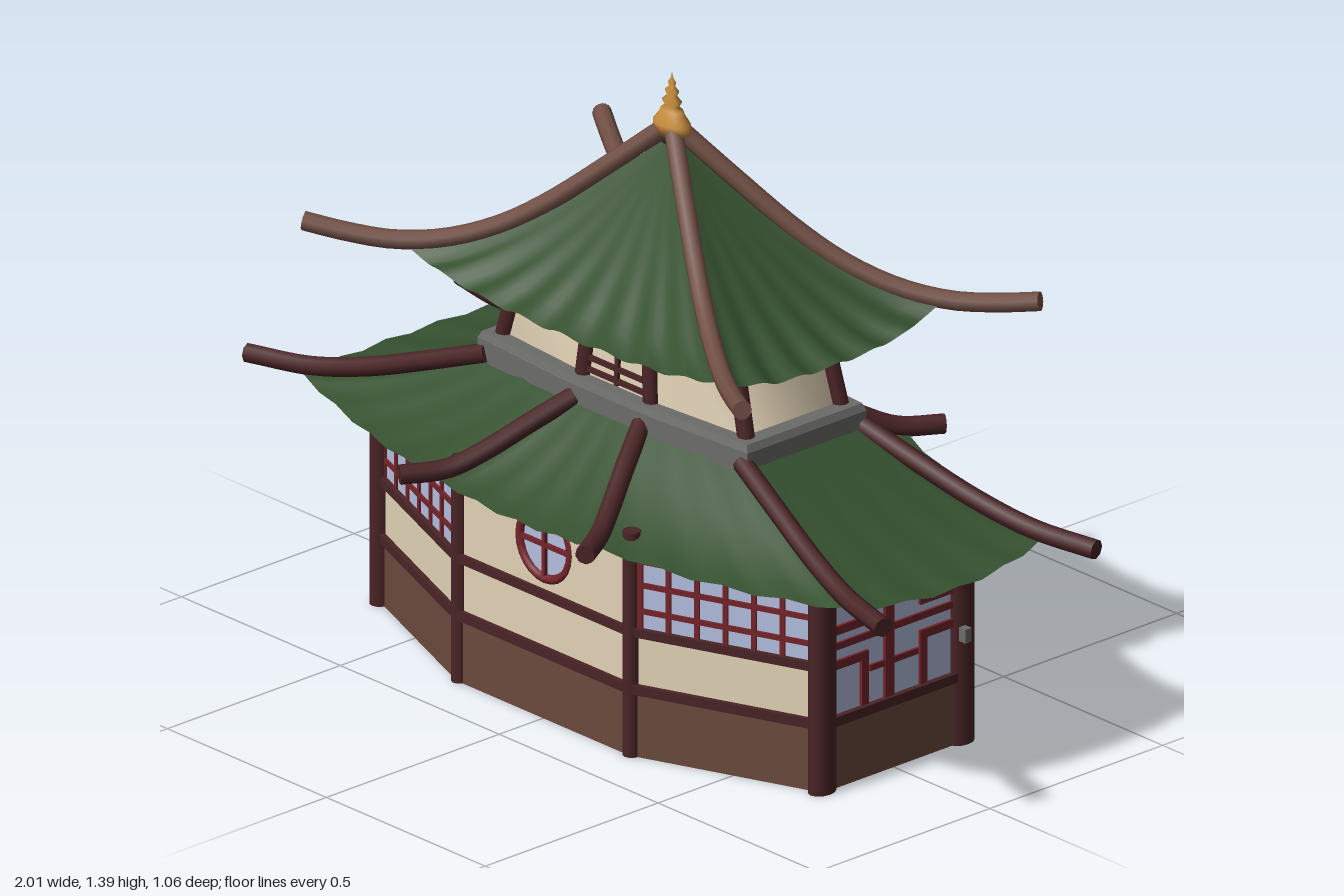
import * as THREE from 'three';

const mat = (name, color, double = true) => {
  const m = new THREE.MeshStandardMaterial({ color, side: double ? THREE.DoubleSide : THREE.FrontSide });
  m.name = name;
  return m;
};

export function createModel() {
  const M = {
    green: mat('roof green', 0x35502f), timber: mat('dark timber', 0x4a2426), red: mat('lattice red', 0x74242a),
    cream: mat('cream plaster', 0xe2d2b6), base: mat('base brown', 0x6b4a3d), ridge: mat('ridge brown', 0x714f44),
    grey: mat('grey band', 0x6c6c6a), gold: mat('finial gold', 0xc68c3c), glass: mat('window glass', 0xb4bfde),
  };
  const root = new THREE.Group();
  const add = (parent, name, geo, material, x = 0, y = 0, z = 0) => {
    const m = new THREE.Mesh(geo, material);
    m.name = name;
    m.position.set(x, y, z);
    parent.add(m);
    return m;
  };
  const box = (p, name, material, w, h, d, x, y, z = 0) => add(p, name, new THREE.BoxGeometry(w, h, d), material, x, y, z);

  // eight-sided plan from one front corner and one end corner
  const octagon = (fx, fz, ex, ez) => [[-fx, fz], [fx, fz], [ex, ez], [ex, -ez], [fx, -fz], [-fx, -fz], [-ex, -ez], [-ex, ez]];
  // skin over closed rings, listed from bottom to top
  const loft = (rings, flat = false) => {
    const n = rings[0].length, pos = rings.flat(2), idx = [];
    for (let i = 0; i < rings.length - 1; i++) for (let j = 0; j < n; j++) {
      const k = (j + 1) % n, a = i * n + j, b = i * n + k;
      idx.push(a, b, a + n, b, b + n, a + n);
    }
    let g = new THREE.BufferGeometry();
    g.setAttribute('position', new THREE.Float32BufferAttribute(pos, 3));
    g.setIndex(idx);
    if (flat) g = g.toNonIndexed();
    g.computeVertexNormals();
    return g;
  };
  const ring = (plan, y) => plan.map(([x, z]) => [x, y, z]);
  // n points along each edge of a plan: x, z, position along edge, edge number
  const sample = (plan, n) => plan.flatMap(([x, z], s) => {
    const [X, Z] = plan[(s + 1) % plan.length];
    return Array.from({ length: n }, (_, i) => [x + (X - x) * i / n, z + (Z - z) * i / n, i / n, s]);
  });
  // curved beam with capped ends
  const beam = (name, material, pts, r) => {
    const g = new THREE.Group();
    g.name = name;
    const c = new THREE.CatmullRomCurve3(pts.map(p => new THREE.Vector3(...p)));
    add(g, name + 'Bar', new THREE.TubeGeometry(c, 24, r, 8), material);
    for (const t of [0, 1]) {
      const p = c.getPoint(t), d = c.getTangent(t).multiplyScalar(t ? 1 : -1);
      add(g, name + 'Cap', new THREE.CircleGeometry(r, 8), material, p.x, p.y, p.z).lookAt(p.clone().add(d));
    }
    root.add(g);
  };
  const quadrants = [[1, 1], [1, -1], [-1, 1], [-1, -1]];

  // ground floor walls
  const corners = octagon(0.27, 0.365, 0.69, 0.2);
  corners.forEach(([ax, az], i) => {
    const [bx, bz] = corners[(i + 1) % 8];
    const w = Math.hypot(bx - ax, bz - az), end = i % 4 === 2, front = i % 4 === 0;
    const g = new THREE.Group();
    g.name = end ? 'endWall' : front ? 'roundWindowWall' : 'latticeWall';
    g.position.set((ax + bx) / 2, 0, (az + bz) / 2);
    g.rotation.y = Math.atan2(az - bz, bx - ax);
    root.add(g);
    box(g, 'basePanel', M.base, w, 0.15, 0.016, 0, 0.075);
    box(g, 'lowerBeam', M.timber, w, 0.022, 0.035, 0, 0.158);
    box(g, 'topBeam', M.timber, w, 0.022, 0.03, 0, 0.488);
    if (end) {
      // door with bracket lattice and handle
      box(g, 'doorGlass', M.glass, w, 0.32, 0.008, 0, 0.32);
      box(g, 'centreBar', M.red, 0.026, 0.31, 0.024, -0.015, 0.325);
      box(g, 'crossBar', M.red, 0.34, 0.016, 0.02, 0, 0.328);
      for (const s of [-1, 1]) {
        box(g, 'upperBracketPost', M.red, 0.02, 0.12, 0.022, s * 0.085, 0.42);
        box(g, 'upperBracketArm', M.red, 0.1, 0.02, 0.022, s * 0.125, 0.365);
        box(g, 'lowerBracketPost', M.red, 0.02, 0.12, 0.022, s * 0.085, 0.23);
        box(g, 'lowerBracketArm', M.red, 0.1, 0.02, 0.022, s * 0.125, 0.285);
      }
      for (const y of [0.25, 0.4]) box(g, 'middleArm', M.red, 0.14, 0.014, 0.02, 0, y);
      box(g, 'doorHandle', M.grey, 0.018, 0.032, 0.02, 0.182, 0.263, 0.035);
      return;
    }
    box(g, 'middleBeam', M.timber, w, 0.02, 0.032, 0, 0.29);
    box(g, 'plasterPanel', M.cream, w, 0.125, 0.012, 0, 0.225);
    if (front) {
      // plaster with a round window
      const shape = new THREE.Shape();
      shape.moveTo(-w / 2, 0.29).lineTo(w / 2, 0.29).lineTo(w / 2, 0.5).lineTo(-w / 2, 0.5);
      shape.holes.push(new THREE.Path().absarc(0, 0.402, 0.08, 0, Math.PI * 2, true));
      add(g, 'upperPlaster', new THREE.ExtrudeGeometry(shape, { depth: 0.012, bevelEnabled: false, curveSegments: 24 }), M.cream, 0, 0, -0.006);
      add(g, 'roundGlass', new THREE.CircleGeometry(0.082, 24), M.glass, 0, 0.402, 0);
      add(g, 'roundFrame', new THREE.TorusGeometry(0.08, 0.011, 8, 24), M.red, 0, 0.402, 0);
      box(g, 'roundCrossBar', M.red, 0.16, 0.01, 0.016, 0, 0.402);
      box(g, 'roundUpright', M.red, 0.01, 0.16, 0.016, 0, 0.402);
    } else {
      // lattice window
      box(g, 'latticeGlass', M.glass, w, 0.2, 0.008, 0, 0.39);
      for (let k = -3; k <= 3; k++) box(g, 'latticeUpright', M.red, 0.012, 0.19, 0.018, k * w / 6.7, 0.39);
      for (const y of [0.34, 0.4, 0.455]) box(g, 'latticeCrossBar', M.red, w, 0.012, 0.018, 0, y);
    }
  });

  // ground floor posts
  corners.forEach(([x, z]) => {
    const end = Math.abs(x) > 0.5, r = end ? 0.034 : 0.02;
    const p = add(root, end ? 'cornerPost' : 'wallPost', new THREE.CylinderGeometry(r, r, 0.52, 12), M.timber, x, 0.26, z);
    if (end) p.scale.x = 0.75;
  });

  // lower roof
  const eave = sample(octagon(0.25, 0.45, 0.86, 0.28), 16);
  const inner = sample(octagon(0.1, 0.175, 0.4, 0.155), 16);
  const lower = [];
  for (let k = 0; k <= 8; k++) {
    const t = 1 - k / 8;
    lower.push(eave.map(([x, z, u, s], j) => {
      const c = Math.abs(2 * u - 1), bulge = s % 4 === 2 ? Math.sign(x) * 0.04 * (1 - c * c) * t : 0;
      const y = 0.665 - 0.185 * (1 - (1 - t) ** 1.5) + 0.018 * t * c * c + 0.004 * t * Math.cos(u * Math.PI * 8);
      return [inner[j][0] * (1 - t) + x * t + bulge, y, inner[j][1] * (1 - t) + z * t];
    }));
  }
  add(root, 'lowerRoof', loft(lower), M.green);
  for (const [sx, sz] of quadrants) {
    beam('lowerEndRidge', M.timber, [[0.4, 0.66, 0.165], [0.55, 0.605, 0.2], [0.7, 0.553, 0.236], [0.84, 0.52, 0.27], [1, 0.51, 0.308]]
      .map(([x, y, z]) => [x * sx, y, z * sz]), 0.022);
    beam('lowerSideRidge', M.timber, [[0.105, 0.66, 0.185], [0.15, 0.61, 0.27], [0.2, 0.553, 0.36], [0.24, 0.52, 0.43], [0.292, 0.515, 0.52]]
      .map(([x, y, z]) => [x * sx, y, z * sz]), 0.022);
  }

  // grey band around the upper storey
  const bandPlan = sample(octagon(0.12, 0.193, 0.425, 0.172), 8);
  const bandIn = sample(octagon(0.1, 0.15, 0.37, 0.13), 8);
  add(root, 'greyBand', loft([
    bandPlan.map(([x, z, u]) => [x, 0.64 + 0.008 * Math.cos(u * Math.PI * 4), z]),
    ring(bandPlan, 0.69), bandPlan.map(([x, z]) => [x * 0.98, 0.706, z * 0.97]), ring(bandIn, 0.706),
  ], true), M.grey);

  // upper storey walls and posts
  const footPlan = octagon(0.11, 0.16, 0.39, 0.138), headPlan = octagon(0.085, 0.142, 0.32, 0.122);
  add(root, 'upperWall', loft([ring(footPlan, 0.66), ring(headPlan, 0.93)]), M.cream);
  footPlan.forEach(([x, z], i) => beam('upperPost', M.timber,
    [[x, 0.67, z], [(x + headPlan[i][0]) / 2, 0.8, (z + headPlan[i][1]) / 2], [headPlan[i][0], 0.93, headPlan[i][1]]], 0.019));
  for (const s of [1, -1]) {
    const g = new THREE.Group();
    g.name = 'upperLattice';
    g.position.set(0, 0.8, s * 0.152);
    g.rotation.set(-s * 0.066, 0, 0);
    root.add(g);
    for (const y of [-0.08, -0.053, 0, 0.06]) box(g, 'upperCrossBar', M.timber, 0.19, 0.011, 0.014, 0, y);
    box(g, 'upperUpright', M.timber, 0.011, 0.18, 0.014, 0, 0);
  }

  // upper roof with scalloped eaves
  const topPlan = sample([[-0.5, 0.31], [0.5, 0.31], [0.5, -0.31], [-0.5, -0.31]], 48);
  const upper = [];
  for (let k = 0; k <= 12; k++) {
    const t = 1 - 0.96 * k / 12;
    upper.push(topPlan.map(([x, z, u, s]) => {
      const c = Math.abs(2 * u - 1), wave = Math.cos(u * Math.PI * (s % 2 ? 12 : 16)) * t ** 3;
      const f = t * (1 + 0.03 * (1 - c * c) + 0.014 * wave);
      const y = 1.245 - 0.37 * (1 - (1 - t) ** 1.4) + 0.045 * t * c ** 3 + 0.007 * wave;
      return [x * f, y, z * f];
    }));
  }
  add(root, 'upperRoof', loft(upper), M.green);
  for (const [sx, sz] of quadrants) {
    beam('upperRidge', M.ridge, [[0.02, 1.255], [0.12, 1.16], [0.23, 1.06], [0.32, 0.995], [0.42, 0.95], [0.52, 0.932], [0.61, 0.938], [0.69, 0.952]]
      .map(([x, y]) => [x * sx, y, x * 0.625 * sz]), 0.021);
  }

  // gilded finial
  const profile = [[0, 1.25], [0.05, 1.255], [0.05, 1.275], [0.034, 1.295], [0.03, 1.305], [0.018, 1.312], [0.026, 1.325],
    [0.013, 1.337], [0.019, 1.348], [0.008, 1.358], [0.011, 1.367], [0.004, 1.376], [0, 1.392]];
  add(root, 'finial', new THREE.LatheGeometry(profile.map(p => new THREE.Vector2(...p)), 16), M.gold).scale.z = 0.64;

  return root;
}
